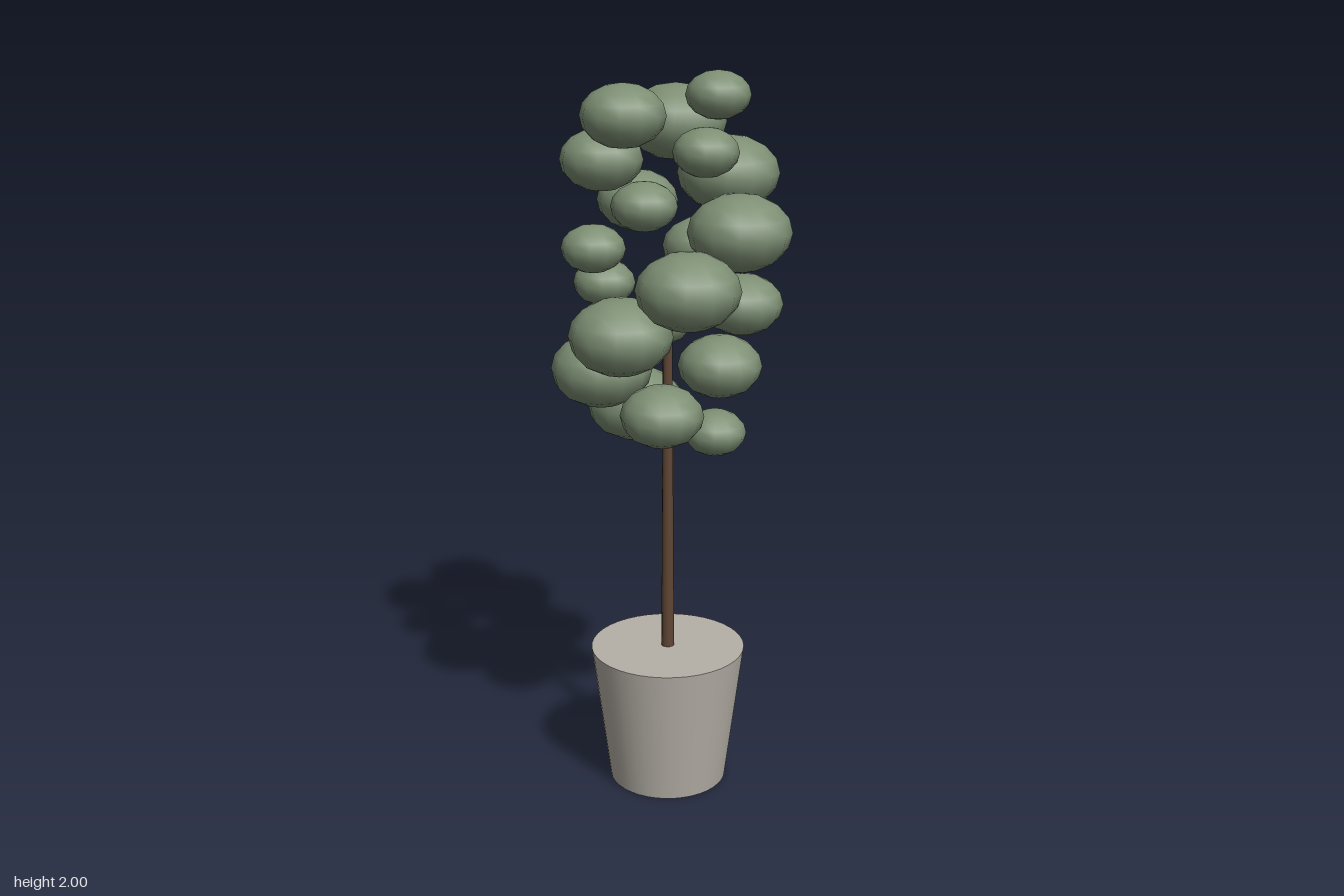
import * as THREE from 'three';

const mat = (name, color) => {
  const m = new THREE.MeshStandardMaterial({ color });
  m.name = name;
  return m;
};

export function createModel() {
  const tree = new THREE.Group();
  tree.name = 'pottedTree';
  const stone = mat('warm grey stone', 0xb5b0a7);
  const bark = mat('brown bark', 0x5f4634);
  const leaf = mat('sage green', 0x7d8f74);

  const add = (parent, name, geometry, material, x, y, z) => {
    const mesh = new THREE.Mesh(geometry, material);
    mesh.name = name;
    mesh.position.set(x, y, z);
    parent.add(mesh);
    return mesh;
  };

  // Tapered pot, closed at the top, and a slender trunk
  add(tree, 'pot', new THREE.CylinderGeometry(0.216, 0.165, 0.4, 40), stone, 0, 0.2, 0);
  add(tree, 'trunk', new THREE.CylinderGeometry(0.0125, 0.018, 0.96, 12), bark, 0, 0.87, 0);

  // Leaf clumps: flattened spheres winding down in a golden-angle spiral
  const foliage = new THREE.Group();
  foliage.name = 'foliage';
  tree.add(foliage);
  const sizes = [0.085, 0.111, 0.137]; // repeating small, medium, large
  const spheres = sizes.map((r) => new THREE.SphereGeometry(r, 12, 8).scale(1, 0.74, 1));
  const count = 22;
  const goldenAngle = Math.PI * (3 - Math.sqrt(5));
  for (let i = 0; i < count; i++) {
    const t = i / (count - 1);
    const angle = i * goldenAngle;
    // The crown is widest at mid height
    const spread = 0.13 + 0.076 * Math.pow(Math.max(0, Math.sin(Math.PI * t)), 0.8);
    add(foliage, 'leafClump' + (i + 1), spheres[i % 3], leaf,
      Math.cos(angle) * spread, 1.937 - 0.897 * t, Math.sin(angle) * spread);
  }

  // The crown is centred on the origin, so the stem sits slightly off it
  for (const part of tree.children) {
    part.position.x -= 0.005;
    part.position.z -= 0.018;
  }
  return tree;
}
